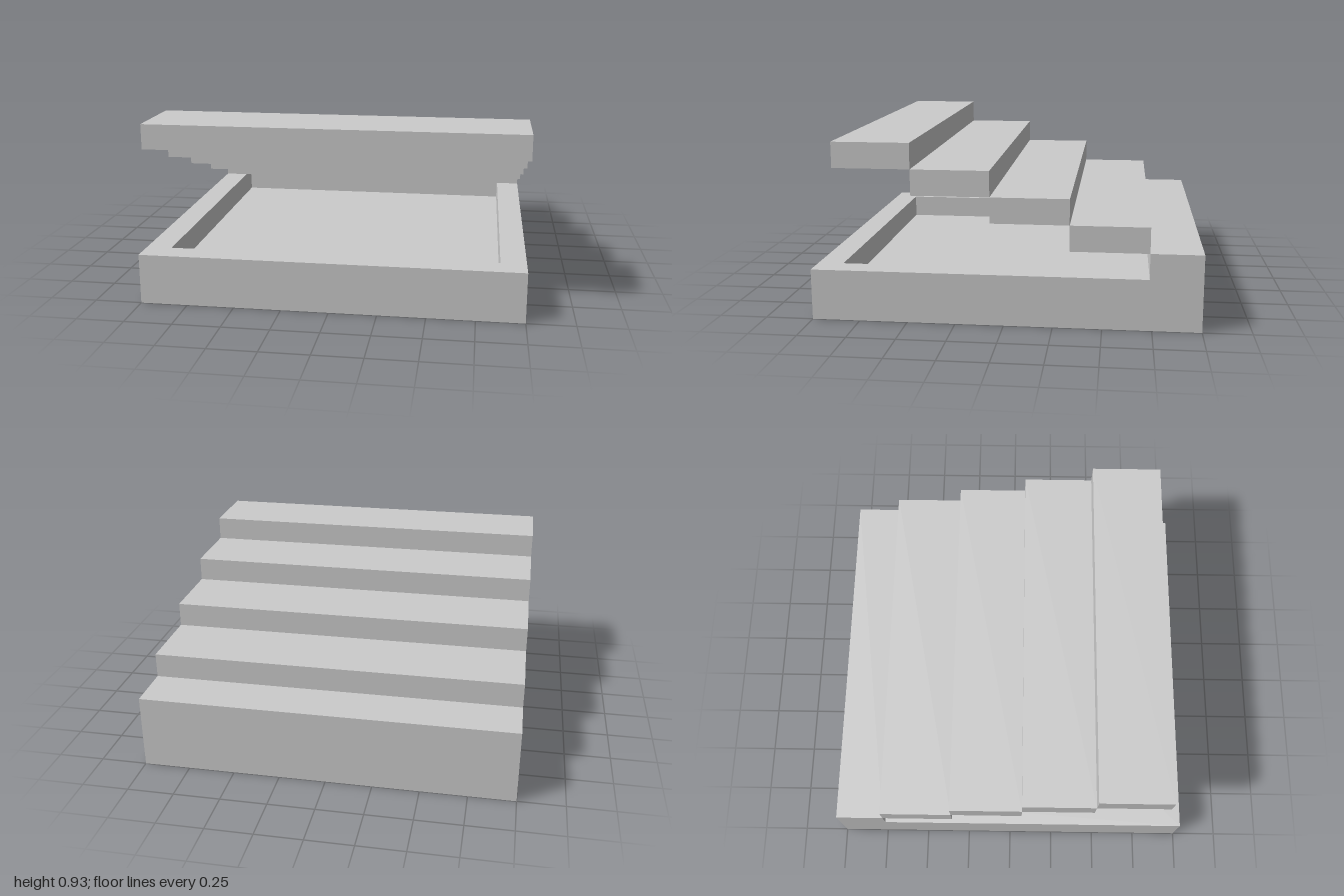
import * as THREE from 'three';

const U = 2 / 15; // modular unit shared by all parts

export function createModel() {
  const group = new THREE.Group();
  const material = new THREE.MeshStandardMaterial({ color: 0xcccccc, flatShading: true });

  // Adds a full block from its lower and upper corners, in units
  const addBlock = (name, [x0, y0, z0], [x1, y1, z1]) => {
    const geometry = new THREE.BoxGeometry((x1 - x0) * U, (y1 - y0) * U, (z1 - z0) * U);
    const mesh = new THREE.Mesh(geometry, material);
    mesh.name = name;
    mesh.position.set(((x0 + x1) / 2) * U, ((y0 + y1) / 2) * U, ((z0 + z1) / 2) * U);
    group.add(mesh);
  };

  // Square base slab that forms the tray floor
  addBlock('trayFloor', [-7.5, 0, -7.5], [7.5, 1, 7.5]);

  // Raised rim around the tray: a square frame extruded upwards
  const square = (h) => [[-h, -h], [h, -h], [h, h], [-h, h]].map(([x, y]) => new THREE.Vector2(x * U, y * U));
  const frame = new THREE.Shape(square(7.5));
  frame.holes.push(new THREE.Path(square(6.5).reverse()));
  const rimGeometry = new THREE.ExtrudeGeometry(frame, { depth: U, bevelEnabled: false });
  rimGeometry.rotateX(-Math.PI / 2);
  const rim = new THREE.Mesh(rimGeometry, material);
  rim.name = 'trayRim';
  rim.position.y = U;
  group.add(rim);

  // Lowest step, resting on the rear of the rim
  addBlock('rearStep', [-7.5, 2, -7.5], [7.5, 3, -5.5]);

  // Floating steps climbing towards the front
  for (let i = 0; i < 4; i++) {
    const z = -5.5 + 3 * i;
    addBlock(`step${i + 1}`, [-7.5, 3 + i, z], [7.5, 4 + i, z + 3]);
  }

  return group;
}
